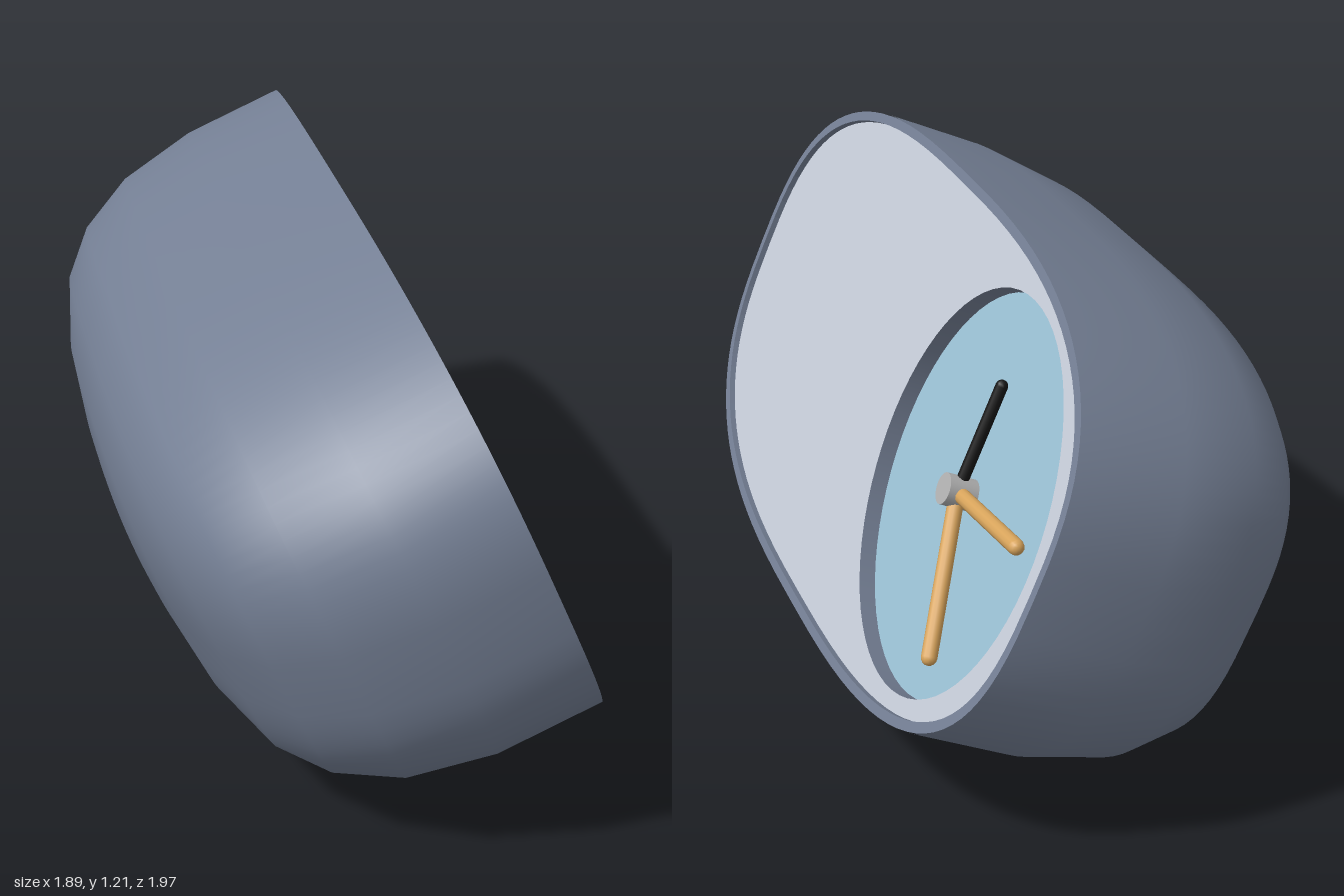
import * as THREE from 'three';

const A = 1.115, B = 0.57, POWER = 2.8, SEG = 96;
const DIAL_X = 0.565, DIAL_R = 0.46, FACE_Z = -0.015, DIAL_Z = -0.055;

const mat = (color, side = THREE.FrontSide) => new THREE.MeshStandardMaterial({ color, side });

// Rounded oval outline, counter-clockwise
function outline(inset = 0) {
  const pts = [];
  const bend = (t) => Math.sign(t) * Math.pow(Math.abs(t), 2 / POWER);
  for (let i = 0; i < SEG; i++) {
    const a = (i / SEG) * Math.PI * 2;
    pts.push(new THREE.Vector2((A - inset) * bend(Math.cos(a)), (B - inset) * bend(Math.sin(a))));
  }
  return pts;
}

// Domed housing: the outline lofted backwards through [depth, scale] rings
function housingGeometry(profile) {
  const base = outline(), pos = [], idx = [];
  profile.forEach(([depth, k], r) => {
    base.forEach((p, i) => {
      pos.push(p.x * k, p.y * k, -depth);
      if (r === 0) return;
      const j = (i + 1) % SEG, up = (r - 1) * SEG, lo = r * SEG;
      idx.push(lo + i, lo + j, up + i, lo + j, up + j, up + i);
    });
  });
  const g = new THREE.BufferGeometry();
  g.setAttribute('position', new THREE.Float32BufferAttribute(pos, 3));
  g.setIndex(idx);
  g.computeVertexNormals();
  return g;
}

export function createModel() {
  const clock = new THREE.Group();
  clock.name = 'clock';
  const add = (name, geometry, material, x = 0, y = 0, z = 0) => {
    const m = new THREE.Mesh(geometry, material);
    m.name = name;
    m.position.set(x, y, z);
    clock.add(m);
    return m;
  };
  const slate = mat(0x747f94), tan = mat(0xd9a55c), black = mat(0x151515);

  // Housing with soft back
  add('housing', housingGeometry([
    [0, 1], [0.25, 1], [0.45, 0.955], [0.59, 0.865], [0.68, 0.745],
    [0.745, 0.55], [0.78, 0.33], [0.79, 0.001],
  ]), slate);

  // Thin raised rim around the face
  const rim = new THREE.Shape(outline(0.002));
  rim.holes.push(new THREE.Path(outline(0.025)));
  add('rim', new THREE.ExtrudeGeometry(rim, { depth: 0.03, bevelEnabled: false }), slate, 0, 0, -0.03);

  // Face plate with the dial opening
  const plate = new THREE.Shape(outline(0.022));
  plate.holes.push(new THREE.Path().absarc(DIAL_X, 0, DIAL_R, 0, Math.PI * 2, true));
  add('facePlate', new THREE.ShapeGeometry(plate, 32), mat(0xc6ccd8), 0, 0, FACE_Z);

  // Recessed dial and its wall
  const wall = new THREE.CylinderGeometry(DIAL_R, DIAL_R, FACE_Z - DIAL_Z, 64, 1, true).rotateX(Math.PI / 2);
  add('dialWall', wall, mat(0x747f94, THREE.DoubleSide), DIAL_X, 0, (FACE_Z + DIAL_Z) / 2);
  add('dial', new THREE.CircleGeometry(DIAL_R, 64), mat(0x9ac0d4), DIAL_X, 0, DIAL_Z);

  // Hands, each a slim rod from the hub to its tip
  const hands = [
    ['shortHand', 0, 0.265, 0.014, black],
    ['sideHand', 0.36, 0.035, 0.018, tan],
    ['lowerHand', 0.19, -0.325, 0.018, tan],
  ];
  for (const [name, tx, ty, r, material] of hands) {
    const length = Math.hypot(tx, ty);
    const rod = new THREE.CapsuleGeometry(r, length - r, 4, 12);
    const hand = add(name, rod, material, DIAL_X + tx / 2, ty / 2, DIAL_Z + 0.035);
    hand.rotation.z = Math.atan2(-tx, ty);
  }

  // Hub
  const hub = new THREE.CylinderGeometry(0.036, 0.036, 0.07, 24).rotateX(Math.PI / 2);
  add('hub', hub, mat(0xb0b0b0), DIAL_X, 0, DIAL_Z + 0.035);

  // Turn to the back left and lean back
  clock.rotation.set(-0.4, 2.31, 0, 'YXZ');
  clock.position.set(0.16, 0.68, -0.14);

  const model = new THREE.Group();
  model.name = 'tableClock';
  model.add(clock);
  return model;
}
